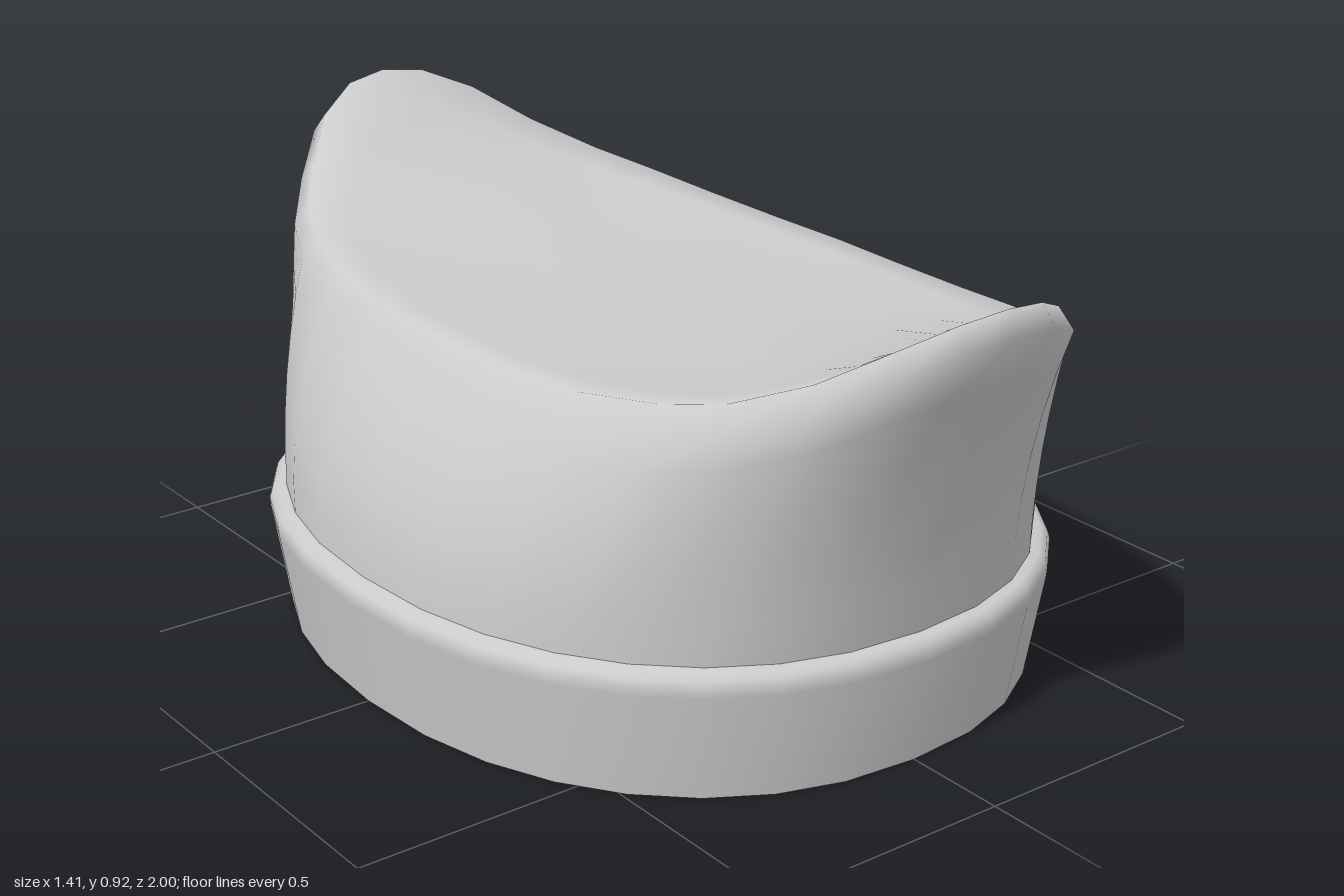
import * as THREE from 'three';

const SEG = 32;

// Slightly squared ellipse point at angle t
function oval(rx, rz, y, t) {
  const bend = (v) => Math.sign(v) * Math.pow(Math.abs(v), 2 / 2.2);
  return new THREE.Vector3(rx * bend(Math.cos(t)), y, rz * bend(Math.sin(t)));
}

// Skin made from closed rings; ring(i, t) gives a point
function loft(name, rows, ring, material) {
  const pos = [], index = [];
  for (let i = 0; i < rows; i++) {
    for (let j = 0; j < SEG; j++) pos.push(...ring(i, (j / SEG) * Math.PI * 2).toArray());
  }
  for (let i = 0; i < rows - 1; i++) {
    for (let j = 0; j < SEG; j++) {
      const a = i * SEG + j, b = i * SEG + (j + 1) % SEG, c = a + SEG, d = b + SEG;
      index.push(a, c, b, b, c, d);
    }
  }
  const g = new THREE.BufferGeometry();
  g.setAttribute('position', new THREE.Float32BufferAttribute(pos, 3));
  g.setIndex(index);
  g.computeVertexNormals();
  const mesh = new THREE.Mesh(g, material);
  mesh.name = name;
  return mesh;
}

// Rim outline from the low side to the raised tip, mirrored on to the other side
const quarter = [
  [0.512, 0.65, 0], [0.507, 0.65, 0.2], [0.485, 0.66, 0.4], [0.44, 0.683, 0.58],
  [0.385, 0.708, 0.705], [0.293, 0.76, 0.83], [0.2, 0.826, 0.93], [0.098, 0.868, 0.985], [0, 0.88, 1],
];
const mirrored = quarter.slice(0, -1).reverse().map(([x, y, z]) => [-x, y, z]);
const rimCurve = new THREE.CatmullRomCurve3(
  [...quarter, ...mirrored].map((p) => new THREE.Vector3(...p)));

// Rim point at angle t, all the way round
function rim(t) {
  const u = Math.asin(Math.min(1, Math.abs(Math.sin(t)))) / Math.PI;
  const p = rimCurve.getPoint(u);
  p.x *= Math.cos(t) < 0 ? -1 : 1;
  p.z *= Math.sin(t) < 0 ? -1 : 1;
  return p;
}

// Crown rings: side wall, lip, then the saddle-shaped top closing to its middle
const WALL = 6, TOP = 8, ROWS = WALL + 2 + TOP;
function crownPoint(i, t) {
  const edge = rim(t), s2 = Math.sin(t) ** 2;
  if (i <= WALL) {
    const k = i / WALL;
    const base = oval(0.672, 0.79, 0.25, t);
    const bulge = 0.075 - 0.14 * s2;
    const mid = base.clone().add(edge).multiplyScalar(0.5);
    mid.x += bulge * Math.cos(t);
    mid.z += bulge * Math.sin(t);
    return base.multiplyScalar((1 - k) ** 2)
      .addScaledVector(mid, 2 * k * (1 - k)).addScaledVector(edge, k * k);
  }
  const s = 1 - (i - WALL - 1) / TOP;
  const lipY = edge.y + 0.039;
  return new THREE.Vector3(edge.x * 0.94 * s, 0.683 + (lipY - 0.683) * s ** 3.2, edge.z * 0.97 * s);
}

export function createModel() {
  const grey = new THREE.MeshStandardMaterial({ color: 0xcccccc });
  grey.name = 'grey felt';
  const cap = new THREE.Group();
  cap.name = 'cap';

  cap.add(loft('crown', ROWS, crownPoint, grey));

  // Flared band with a rounded upper edge
  const band = [[0.672, 0.79, 0], [0.705, 0.824, 0.215], [0.706, 0.825, 0.232],
    [0.701, 0.82, 0.247], [0.688, 0.808, 0.257], [0.66, 0.78, 0.26]];
  cap.add(loft('band', band.length, (i, t) => oval(...band[i], t), grey));

  // Flat lower edge of the band
  const hem = [[0.614, 0.73, 0], [0.672, 0.79, 0]];
  cap.add(loft('bottomEdge', 2, (i, t) => oval(...hem[i], t), grey));

  // Hollow inside, an even thickness within the crown, thicker towards the tips
  cap.add(loft('lining', ROWS + 1, (i, t) => {
    if (i === ROWS) return oval(0.614, 0.73, 0, t);
    const p = crownPoint(ROWS - 1 - i, t);
    return p.set(p.x * 0.915, p.y - 0.058 - 0.05 * p.z ** 2, p.z * 0.915);
  }, grey));

  return cap;
}
